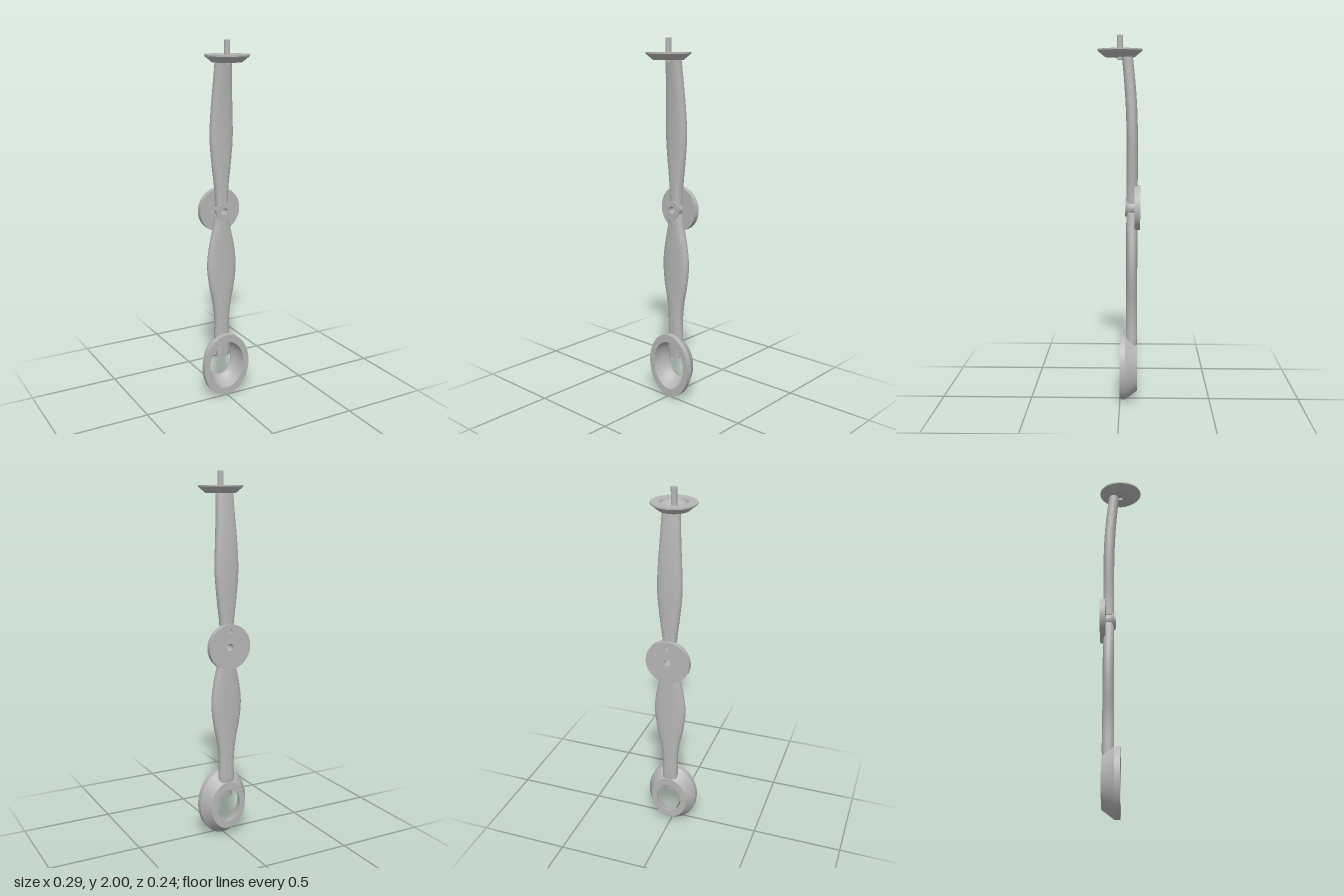
import * as THREE from 'three';
import { toCreasedNormals } from 'three/addons/utils/BufferGeometryUtils.js';

const grey = new THREE.MeshStandardMaterial({ color: 0xb6b6b6 });
grey.name = 'plain grey';

const HUB_Y = 1.085;

function part(name, geometry, crease = 0.5) {
  const mesh = new THREE.Mesh(toCreasedNormals(geometry, crease), grey);
  mesh.name = name;
  return mesh;
}

// Lathe from [radius, height] pairs
function turned(points, segments = 64) {
  return new THREE.LatheGeometry(points.map(([r, h]) => new THREE.Vector2(r, h)), segments);
}

// Loft through oval sections, listed from the top down as [y, halfWidth, zFront, zBack]
function loft(sections, steps = 36, sides = 40) {
  const widths = new THREE.SplineCurve(sections.map(s => new THREE.Vector2(s[0], s[1])));
  const depths = new THREE.SplineCurve(sections.map(s => new THREE.Vector2(s[2], s[3])));
  const round = v => Math.sign(v) * Math.pow(Math.abs(v), 0.8);
  const pos = [];
  const index = [];
  const ends = [];
  for (let i = 0; i <= steps; i++) {
    const { x: y, y: w } = widths.getPoint(i / steps);
    const { x: front, y: back } = depths.getPoint(i / steps);
    const mid = (front + back) / 2;
    const half = (front - back) / 2;
    for (let j = 0; j < sides; j++) {
      const a = (j / sides) * Math.PI * 2;
      pos.push(w * round(Math.cos(a)), y, mid + half * round(Math.sin(a)));
    }
    if (i === 0 || i === steps) ends.push([0, y, mid]);
  }
  for (let i = 0; i < steps; i++) {
    for (let j = 0; j < sides; j++) {
      const a = i * sides + j;
      const b = i * sides + ((j + 1) % sides);
      index.push(a, b, a + sides, b, b + sides, a + sides);
    }
  }
  // End caps
  const top = pos.length / 3;
  pos.push(...ends[0], ...ends[1]);
  const last = steps * sides;
  for (let j = 0; j < sides; j++) {
    const k = (j + 1) % sides;
    index.push(top, k, j, top + 1, last + j, last + k);
  }
  const g = new THREE.BufferGeometry();
  g.setAttribute('position', new THREE.Float32BufferAttribute(pos, 3));
  g.setIndex(index);
  g.computeVertexNormals();
  return g;
}

export function createModel() {
  const model = new THREE.Group();
  model.name = 'jointedArm';

  // Upper arm, curving forward towards the cup
  model.add(part('upperArm', loft([
    [1.89, 0.048, -0.01, -0.068],
    [1.76, 0.054, -0.022, -0.082],
    [1.62, 0.063, -0.031, -0.092],
    [1.48, 0.067, -0.035, -0.096],
    [1.34, 0.055, -0.036, -0.096],
    [1.21, 0.039, -0.036, -0.096],
    [HUB_Y + 0.024, 0.034, -0.036, -0.095],
  ])));

  // Lower arm, ending in a thin tongue inside the ring
  model.add(part('lowerArm', loft([
    [HUB_Y - 0.024, 0.037, -0.035, -0.095],
    [0.98, 0.053, -0.034, -0.095],
    [0.88, 0.076, -0.034, -0.095],
    [0.77, 0.088, -0.034, -0.095],
    [0.66, 0.077, -0.033, -0.095],
    [0.55, 0.054, -0.033, -0.095],
    [0.45, 0.043, -0.033, -0.095],
    [0.33, 0.044, -0.033, -0.095],
    [0.28, 0.044, -0.034, -0.08],
    [0.225, 0.038, -0.036, -0.07],
  ], 54)));

  // Flared hub with a bore through the joint
  const hub = turned([
    [0.019, -0.09], [0.036, -0.09], [0.034, -0.068], [0.036, -0.054],
    [0.041, -0.042], [0.05, -0.034], [0.05, -0.027], [0.019, -0.027], [0.019, -0.09],
  ], 40).rotateX(Math.PI / 2).translate(0, HUB_Y, 0);
  model.add(part('hub', hub));

  // Disc behind the joint with a centre hole and a small pin hole
  const outline = new THREE.Shape().absarc(0, 0, 0.122, 0, Math.PI * 2);
  for (const [y, r] of [[0, 0.019], [0.088, 0.012]]) {
    outline.holes.push(new THREE.Path().absarc(0, y, r, 0, Math.PI * 2, true));
  }
  const disc = new THREE.ExtrudeGeometry(outline, { depth: 0.03, bevelEnabled: false, curveSegments: 48 });
  model.add(part('jointDisc', disc.translate(0, HUB_Y, -0.11)));

  // Oval ring, tapering to a smaller opening at the back
  const ring = turned([
    [0.072, -0.095], [0.105, -0.095], [0.143, -0.03], [0.143, 0], [0.109, 0],
    [0.106, -0.02], [0.099, -0.045], [0.088, -0.067], [0.072, -0.085], [0.072, -0.095],
  ], 72).rotateX(Math.PI / 2).scale(1, 1.287, 1).translate(0, 0.184, 0);
  model.add(part('ovalRing', ring));

  // Shallow cup with a round hollow
  model.add(part('cup', turned([
    [0, 1.887], [0.08, 1.887], [0.119, 1.919], [0.119, 1.927], [0.073, 1.927],
    [0.068, 1.915], [0.054, 1.904], [0.03, 1.897], [0, 1.895],
  ])));

  // Pin through the cup
  const pin = new THREE.CylinderGeometry(0.016, 0.016, 0.127, 32).translate(0, 1.9365, 0);
  model.add(part('pin', pin));

  return model;
}
